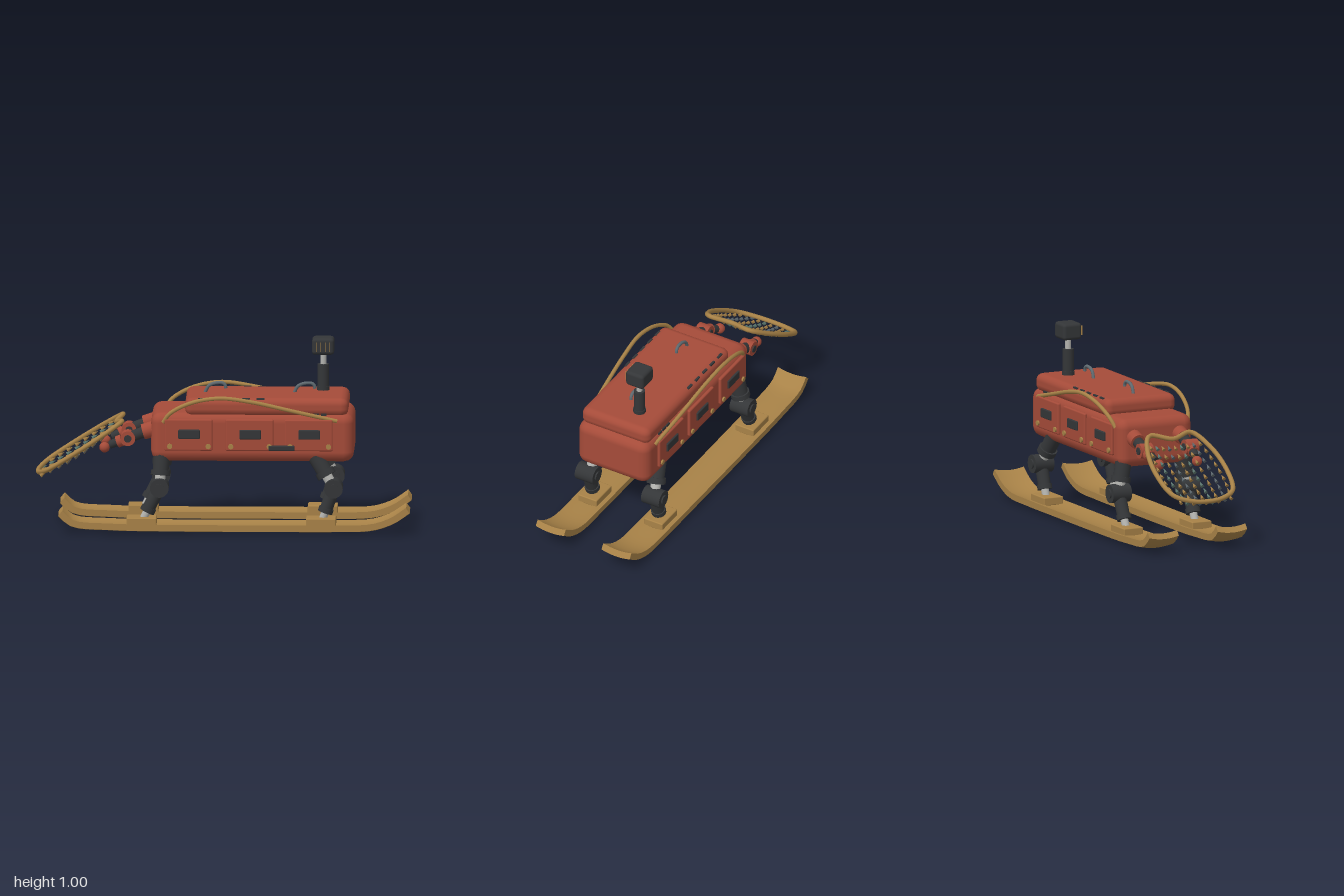
import * as THREE from 'three';
import { RoundedBoxGeometry } from 'three/addons/geometries/RoundedBoxGeometry.js';

const mat = (name, color, side = THREE.FrontSide) => {
  const m = new THREE.MeshStandardMaterial({ color, side });
  m.name = name;
  return m;
};
const V = (x, y, z) => new THREE.Vector3(x, y, z);

export function createModel() {
  const red = mat('rust red', 0xa54b39);
  const wood = mat('tan wood', 0xa88247);
  const dark = mat('charcoal', 0x343638);
  const metal = mat('light metal', 0xb2b2ae);
  const steel = mat('blue steel', 0x5f6a70);
  const teal = mat('muted teal', 0x5f7b72);
  const root = new THREE.Group();
  root.name = 'sledWalker';

  const add = (name, geo, m, x = 0, y = 0, z = 0, parent = root) => {
    const mesh = new THREE.Mesh(geo, m);
    mesh.name = name;
    mesh.position.set(x, y, z);
    parent.add(mesh);
    return mesh;
  };
  const box = (name, m, w, h, d, x, y, z, r = 0, parent = root) =>
    add(name, r ? new RoundedBoxGeometry(w, h, d, 2, r) : new THREE.BoxGeometry(w, h, d), m, x, y, z, parent);
  // Cylinder from point a to point b
  const rod = (name, m, a, b, ra, rb = ra, parent = root, sides = 16) => {
    const d = b.clone().sub(a);
    const mid = a.clone().add(b).multiplyScalar(0.5);
    const mesh = add(name, new THREE.CylinderGeometry(rb, ra, d.length(), sides), m, mid.x, mid.y, mid.z, parent);
    mesh.quaternion.setFromUnitVectors(V(0, 1, 0), d.normalize());
    return mesh;
  };
  const tube = (name, m, pts, r, closed = false, n = 48) =>
    add(name, new THREE.TubeGeometry(new THREE.CatmullRomCurve3(pts, closed), n, r, 8, closed), m);

  // Hull and lid
  box('body', red, 1.08, 0.265, 0.44, 0.16, 0.508, 0, 0.055);
  box('lid', red, 0.87, 0.1, 0.42, 0.235, 0.67, 0, 0.04);

  // Side panels with windows, bolts, vents and side rails
  for (const s of [1, -1]) {
    for (const x of [-0.18, 0.145, 0.46]) {
      box('sidePanel', red, 0.255, 0.17, 0.02, x, 0.525, s * 0.225, 0.008);
      box('panelWindow', dark, 0.115, 0.05, 0.014, x + 0.003, 0.53, s * 0.238, 0.005);
      for (const dx of [-0.1, 0.105]) {
        rod('panelBolt', wood, V(x + dx, 0.465, s * 0.23), V(x + dx, 0.465, s * 0.244), 0.014);
      }
    }
    for (let i = 0; i < 5; i++) {
      box('lidVent', dark, 0.042, 0.008, 0.012, -0.11 + i * 0.078, 0.714, s * 0.192);
    }
    for (let i = 0; i < 3; i++) box('sideVent', dark, 0.03, 0.012, 0.008, 0.46 + i * 0.04, 0.635, s * 0.208);
    tube('sideRail', wood, [
      V(-0.315, 0.59, s * 0.215), V(-0.28, 0.64, s * 0.232), V(-0.17, 0.7, s * 0.25), V(-0.02, 0.728, s * 0.258),
      V(0.15, 0.708, s * 0.25), V(0.38, 0.655, s * 0.235), V(0.61, 0.6, s * 0.215),
    ], 0.011);
  }
  box('frontLatch', dark, 0.14, 0.028, 0.02, 0.315, 0.457, 0.238, 0.006);

  // Lid handles
  for (const x of [-0.04, 0.435]) {
    tube('lidHandle', steel, [
      V(x - 0.058, 0.715, 0), V(x - 0.04, 0.75, 0.002), V(x - 0.01, 0.766, 0.004),
      V(x + 0.035, 0.768, 0.004), V(x + 0.05, 0.755, 0.003), V(x + 0.052, 0.74, 0.002),
    ], 0.009, false, 20);
  }

  // Sensor mast
  const mx = 0.53, mz = -0.075;
  rod('mastCollar', dark, V(mx, 0.71, mz), V(mx, 0.74, mz), 0.034);
  rod('mastSleeve', dark, V(mx, 0.72, mz), V(mx, 0.86, mz), 0.03);
  rod('mastRod', metal, V(mx, 0.85, mz), V(mx, 0.925, mz), 0.016);
  box('sensorHead', dark, 0.118, 0.09, 0.11, mx, 0.96, mz, 0.018);
  for (let i = 0; i < 4; i++) box('sensorBar', wood, 0.005, 0.05, 0.006, mx - 0.036 + i * 0.024, 0.96, -0.013);

  // Skis: a box bent along a profile, with raised long edges
  const profile = new THREE.CatmullRomCurve3([
    V(-0.862, 0.097, 0), V(-0.8, 0.045, 0), V(-0.6, 0.026, 0), V(-0.2, 0.02, 0), V(0.3, 0.02, 0),
    V(0.6, 0.021, 0), V(0.8, 0.029, 0), V(0.91, 0.067, 0), V(0.988, 0.12, 0),
  ]);
  const skiGeo = new THREE.BoxGeometry(1, 1, 1, 48, 1, 8);
  const p = skiGeo.attributes.position;
  for (let i = 0; i < p.count; i++) {
    const u = p.getX(i) + 0.5, v = p.getY(i) * 0.035, w = p.getZ(i);
    const c = profile.getPointAt(u), t = profile.getTangentAt(u);
    p.setXYZ(i, c.x - t.y * v, c.y + t.x * v + 0.012 * 4 * w * w, w * 0.174);
  }
  skiGeo.computeVertexNormals();

  // Legs, feet and skis
  for (const s of [1, -1]) {
    add('ski', skiGeo, wood, 0, 0, s * 0.203);
    for (const [hip, knee, foot] of [[-0.322, -0.335, -0.425], [0.475, 0.592, 0.53]]) {
      const leg = new THREE.Group();
      leg.name = 'leg';
      root.add(leg);
      const H = V(hip, 0.44, s * 0.165), K = V(knee, 0.24, s * 0.205), F = V(foot, 0.06, s * 0.205);
      const at = (a, b, t) => a.clone().lerp(b, t);
      rod('thigh', dark, H, at(H, K, 0.66), 0.046, 0.042, leg);
      rod('thighCuff', dark, at(H, K, 0.56), at(H, K, 0.7), 0.052, 0.052, leg);
      rod('thighPiston', metal, at(H, K, 0.66), K, 0.028, 0.028, leg);
      rod('knee', dark, V(knee, 0.24, s * 0.15), V(knee, 0.24, s * 0.26), 0.05, 0.05, leg, 20);
      rod('kneeCap', dark, V(knee, 0.24, s * 0.142), V(knee, 0.24, s * 0.268), 0.026, 0.026, leg);
      rod('shin', dark, K, at(K, F, 0.7), 0.036, 0.034, leg);
      rod('shinCuff', dark, at(K, F, 0.6), at(K, F, 0.74), 0.04, 0.04, leg);
      rod('anklePiston', metal, at(K, F, 0.7), F, 0.021, 0.021, leg);
      box('footPad', wood, 0.16, 0.045, 0.115, foot - 0.005, 0.058, s * 0.203, 0.006, leg);
    }
  }

  // Arms reaching to the net frame
  for (const s of [1, -1]) {
    const z = s * 0.135;
    rod('shoulder', red, V(-0.34, 0.55, z), V(-0.425, 0.525, z), 0.046, 0.042);
    rod('upperArm', dark, V(-0.42, 0.525, z), V(-0.49, 0.498, z), 0.03);
    rod('elbow', red, V(-0.505, 0.493, z - 0.036), V(-0.505, 0.493, z + 0.036), 0.04);
    rod('elbowCap', dark, V(-0.505, 0.493, z - 0.042), V(-0.505, 0.493, z + 0.042), 0.02);
    rod('forearm', dark, V(-0.52, 0.487, z), V(-0.6, 0.452, s * 0.118), 0.026, 0.022);
    rod('forearmCuff', red, V(-0.535, 0.48, z), V(-0.56, 0.47, s * 0.13), 0.032);
    add('wrist', new THREE.SphereGeometry(0.028, 14, 10), red, -0.63, 0.437, s * 0.113);
  }

  // Tilted net frame
  const slopeY = (x) => 0.582 + (x + 0.53) * 0.64;
  const half = [[-0.537, 0.12], [-0.63, 0.182], [-0.79, 0.207], [-0.93, 0.175], [-0.975, 0.09]];
  const ring = [[-0.57, 0], ...half, [-0.986, 0], ...half.map(([x, z]) => [x, -z]).reverse()];
  tube('netFrame', wood, ring.map(([x, z]) => V(x, slopeY(x), z)), 0.013, true, 80);

  // Sagging net of small pointed knots, laid along the slope
  const knot = new THREE.ConeGeometry(0.012, 0.036, 4);
  const along = new THREE.Quaternion().setFromUnitVectors(V(0, 1, 0), V(1, 0.64, 0).normalize());
  const knotMats = [wood, teal, steel];
  for (let i = 0; i < 9; i++) {
    const x = -0.955 + i * 0.045;
    const width = 0.19 * Math.sqrt(1 - ((x + 0.78) / 0.3) ** 2 * 0.75);
    for (let j = -4; j <= 4; j++) {
      const sag = 0.04 * (1 - (j / 4.6) ** 2) * (1 - ((x + 0.775) / 0.24) ** 2);
      const k = add('netKnot', knot, knotMats[(j + 4) % 4 === 3 ? 2 : (j + 4) % 2], x, slopeY(x) - sag - 0.008, j / 4.4 * width);
      k.quaternion.copy(along);
    }
  }
  return root;
}
